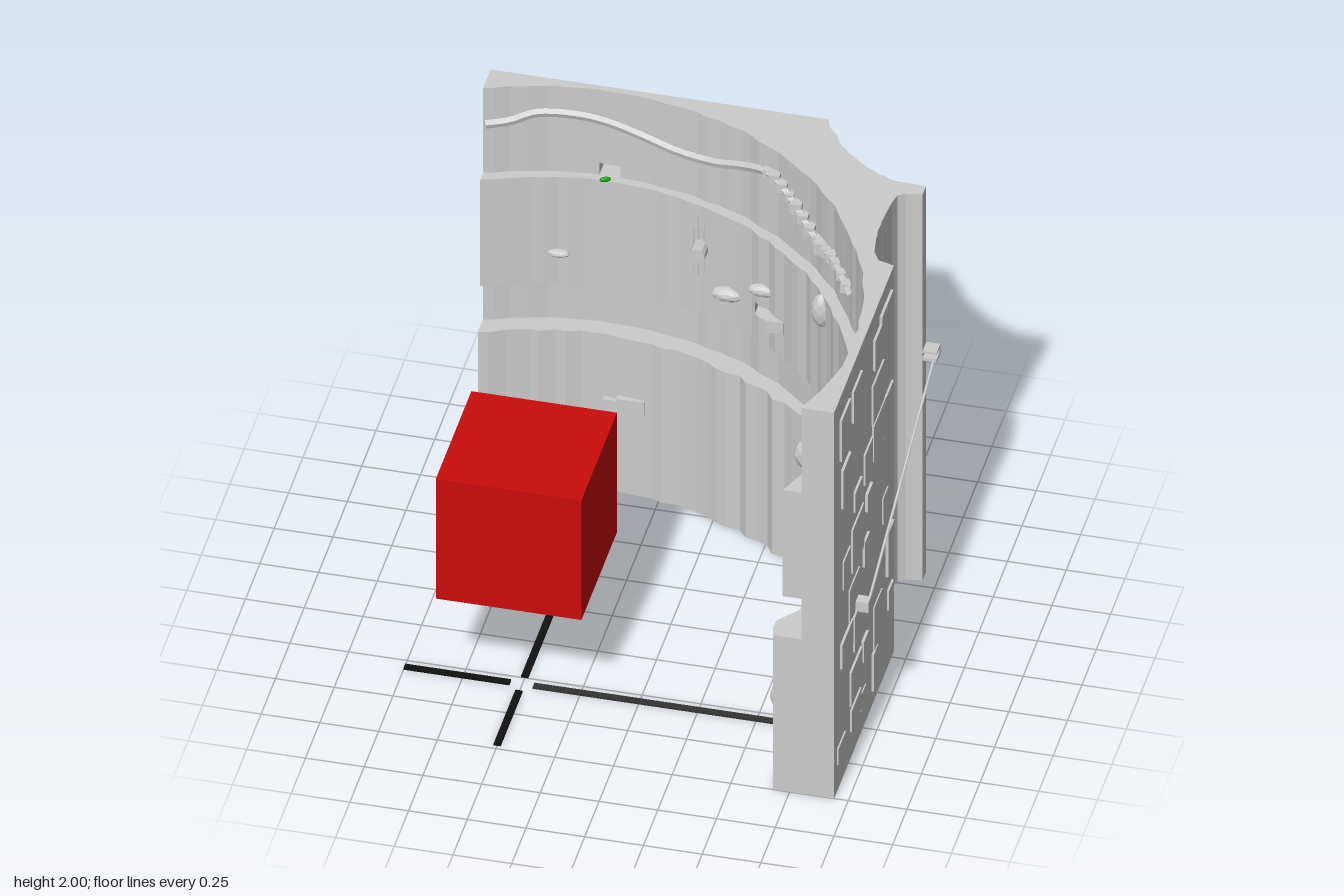
import * as THREE from 'three';

export function createModel() {
  const root = new THREE.Group();
  const mat = (color) => new THREE.MeshStandardMaterial({ color, flatShading: true });
  const grey = mat(0xcccccc), red = mat(0xcc0c0c), black = mat(0x111111), green = mat(0x18a018);
  let seed = 7;
  const rnd = () => (seed = (seed * 16807) % 2147483647) / 2147483647;

  const add = (name, geo, x = 0, y = 0, z = 0, m = grey, parent = root) => {
    const mesh = new THREE.Mesh(geo, m);
    mesh.name = name;
    mesh.position.set(x, y, z);
    parent.add(mesh);
    return mesh;
  };
  // Box given by its limits on each axis
  const box = (name, x0, x1, y0, y1, z0, z1, m, parent) =>
    add(name, new THREE.BoxGeometry(x1 - x0, y1 - y0, z1 - z0), (x0 + x1) / 2, (y0 + y1) / 2, (z0 + z1) / 2, m, parent);
  const rock = (name, x, y, z, sx, sy, sz, m) => {
    const r = add(name, new THREE.IcosahedronGeometry(0.5, 1), x, y, z, m);
    r.scale.set(sx, sy, sz);
    return r;
  };

  // Plan outlines [x, z] of the wall, from the back's right end round to the front's left end
  const fluted = (pts, n, amount) => {
    const curve = new THREE.CatmullRomCurve3(pts.map(([x, z]) => new THREE.Vector3(x, 0, z)));
    return curve.getSpacedPoints(n).map((p, i) => {
      const j = i === 0 || i === n ? 0 : (rnd() - 0.5) * amount;
      return [p.x + (i === 0 || i === n ? 0 : j), p.z - j];
    });
  };
  const upper = fluted([[-1, -0.82], [-0.75, -0.895], [-0.5, -0.92], [-0.2, -0.89], [0.1, -0.79], [0.35, -0.63],
    [0.6, -0.38], [0.77, -0.08], [0.86, 0.15], [0.895, 0.4], [0.9, 0.6], [0.87, 0.8], [0.8, 1]], 60, 0.01);
  const middle = fluted([[-1, -0.77], [-0.75, -0.85], [-0.5, -0.885], [-0.2, -0.85], [0.1, -0.74], [0.35, -0.57],
    [0.55, -0.36], [0.7, -0.1], [0.8, 0.15], [0.85, 0.4], [0.84, 0.6], [0.8, 0.8], [0.72, 1]], 60, 0.01);
  const lower = fluted([[-1, -0.73], [-0.8, -0.795], [-0.5, -0.84], [-0.15, -0.79], [0.15, -0.67], [0.45, -0.46],
    [0.65, -0.2], [0.76, 0.1], [0.78, 0.35], [0.79, 0.62], [0.76, 0.78], [0.66, 0.92], [0.68, 1]], 60, 0.018);
  const outer = [[-1, -0.95], [0.44, -0.95], [0.45, -0.91],
    ...fluted([[0.48, -0.87], [0.53, -0.8], [0.62, -0.71], [0.72, -0.64], [0.82, -0.605]], 14, 0.01),
    [0.94, -0.6], [0.94, -0.54], [0.87, -0.53], [0.84, -0.51], [0.83, -0.46],
    ...fluted([[0.825, -0.4], [0.82, -0.3], [0.825, -0.2]], 8, 0.006),
    [0.84, -0.11], [0.87, -0.06], [0.94, -0.04], [0.94, 1]];

  // Split an outline where it first passes x
  const split = (line, x) => {
    const i = line.findIndex((p) => p[0] > x);
    const [a, b] = [line[i - 1], line[i]];
    const cut = [x, a[1] + (b[1] - a[1]) * (x - a[0]) / (b[0] - a[0])];
    return { before: [...line.slice(0, i), cut], after: [cut, ...line.slice(i)], z: cut[1] };
  };
  const wall = new THREE.Group();
  wall.name = 'curvedWall';
  root.add(wall);
  const slab = (name, y0, y1, inside, outside) => {
    const plan = [...inside, ...[...outside].reverse()].map(([x, z]) => new THREE.Vector2(x, -z));
    const geo = new THREE.ExtrudeGeometry(new THREE.Shape(plan), { depth: y1 - y0, bevelEnabled: false });
    add(name, geo.rotateX(-Math.PI / 2), 0, y0, 0, grey, wall);
  };
  // Wall layers; the optional last two numbers are a window's x limits
  const layers = [
    ['lowerWall', 0, 0.43, lower], ['lowerWallWindow', 0.43, 0.49, lower, 0.53, 0.57], ['lowerWallTop', 0.49, 0.8, lower],
    ['recessedBand', 0.8, 1.01, upper],
    ['middleWall', 1.01, 1.14, middle], ['middleWallWindow', 1.14, 1.2, middle, 0.19, 0.26], ['middleWallTop', 1.2, 1.56, middle],
    ['upperWallWindow', 1.56, 1.62, upper, -0.53, -0.44], ['upperWall', 1.62, 2, upper]];
  for (const [name, y0, y1, line, a, b] of layers) {
    if (a === undefined) { slab(name, y0, y1, line, outer); continue; }
    slab(name + 'Right', y0, y1, split(line, a).before, split(outer, a).before);
    slab(name + 'Left', y0, y1, split(line, b).after, split(outer, b).after);
  }

  // Square window frames projecting from the back
  const frame = (x0, x1, y0, y1, z0, z1, t = 0.008) => {
    box('windowFrameBottom', x0 - t, x1 + t, y0 - t, y0, z0, z1);
    box('windowFrameTop', x0 - t, x1 + t, y1, y1 + t, z0, z1);
    box('windowFrameSide', x0 - t, x0, y0, y1, z0, z1);
    box('windowFrameSide', x1, x1 + t, y0, y1, z0, z1);
  };
  frame(-0.53, -0.44, 1.56, 1.62, -1, -0.94);
  frame(0.19, 0.26, 1.14, 1.2, -1, -0.94);
  box('windowBlock', 0.26, 0.34, 1.14, 1.2, split(middle, 0.3).z - 0.05, split(middle, 0.3).z + 0.03);

  // Thin cladding plates on the back and on the left side
  for (let row = 0; row < 8; row++) {
    for (let col = 0; col < 5; col++) {
      const w = 0.07 + rnd() * 0.15, h = 0.07 + rnd() * 0.16, t = 0.005 + rnd() * 0.008;
      const y = 0.15 + row * 0.235 + (rnd() - 0.5) * 0.1;
      const z = 0.08 + col * 0.19 + (rnd() - 0.5) * 0.1;
      if (rnd() < 0.75) box('sidePlate', 0.93, 0.94 + t, y - h / 2, y + h / 2, Math.max(z - w / 2, 0), Math.min(z + w / 2, 0.98));
      const x = -0.85 + col * 0.28 + (rnd() - 0.5) * 0.14;
      if (rnd() < 0.75) box('backPlate', x - w / 2, x + w / 2, y - h / 2, y + h / 2, -0.95 - t, -0.94);
    }
  }

  // Stones on the back near the corner, and a stepped ledge in the corner
  for (const [x, y, w, h] of [[0.3, 1.11, 0.24, 0.07], [0.24, 1.03, 0.13, 0.07], [0.33, 0.78, 0.18, 0.07], [0.37, 0.7, 0.14, 0.06], [0.36, 0.4, 0.18, 0.09]])
    rock('backStone', x, y, -0.95, w, h, 0.08);
  for (let i = 0; i < 5; i++) {
    const x = 0.45 + i * 0.055, z = split(outer, x + 0.01).z;
    box('cornerLedge', x - 0.03, x + 0.03, 0.43, 0.57 - (i % 2) * 0.02, z - 0.025, z + 0.06);
  }

  // Slanting cable on the left side with its two brackets
  const cable = new THREE.LineCurve3(new THREE.Vector3(0.985, 1.15, -0.56), new THREE.Vector3(0.985, 0.72, 0.59));
  add('sideCable', new THREE.TubeGeometry(cable, 1, 0.006, 6));
  box('cableBracketLower', 0.93, 1, 0.715, 0.765, 0.6, 0.65);
  box('cableBracketUpperArm', 0.9, 1, 1.14, 1.155, -0.605, -0.54);
  box('cableBracketUpperPlate', 0.985, 1, 1.14, 1.19, -0.605, -0.59);
  box('cableBracketUpperTop', 0.92, 1, 1.18, 1.19, -0.605, -0.54);

  // Rough cable sagging along the inside of the upper wall
  const path = [[-0.98, 1.82], [-0.88, 1.83], [-0.78, 1.87], [-0.62, 1.87], [-0.48, 1.85], [-0.33, 1.81], [-0.18, 1.78], [0, 1.79],
    [0.14, 1.84], [0.27, 1.88], [0.4, 1.82], [0.52, 1.74], [0.62, 1.75], [0.75, 1.75]];
  const inner = new THREE.CatmullRomCurve3(path.map(([x, y]) => new THREE.Vector3(x - 0.008, y, split(upper, x).z + 0.012)));
  add('innerCable', new THREE.TubeGeometry(inner, 50, 0.02, 5));
  for (let i = 0; i < 14; i++) {
    const p = inner.getPoint(0.68 + i * 0.023), s = 0.035 + rnd() * 0.025;
    box('cableBlock', p.x - s / 2, p.x + s / 2, p.y - s / 2, p.y + s / 2, p.z - s / 2, p.z + s / 2);
  }

  // Debris on the inside faces
  for (const [line, x, y, w, h, d] of [[middle, -0.69, 1.17, 0.1, 0.04, 0.06], [middle, 0.06, 1.17, 0.15, 0.07, 0.08],
    [middle, 0.23, 1.29, 0.13, 0.06, 0.06], [middle, 0.56, 1.48, 0.09, 0.17, 0.08], [lower, 0.53, 0.7, 0.2, 0.18, 0.12]])
    rock('innerStone', x, y, split(line, x).z, w, h, d);
  for (const [z, y] of [[0.33, 0.7], [0.45, 0.45], [0.88, 0.41]])
    rock('sideStone', z > 0.8 ? 0.68 : 0.77, y, z, 0.08, 0.11, 0.13);
  for (const [x0, x1, y0, y1] of [[-0.49, -0.42, 0.42, 0.48], [-0.43, -0.31, 0.43, 0.5]]) {
    const z = split(lower, (x0 + x1) / 2).z;
    box('innerBox', x0, x1, y0, y1, z - 0.03, z + 0.02);
  }

  // Round knob with thin radiating streaks
  const knobZ = split(middle, -0.07).z;
  add('roundKnob', new THREE.CylinderGeometry(0.035, 0.035, 0.1, 10).rotateX(Math.PI / 2), -0.07, 1.355, knobZ + 0.03);
  for (const [dx, half] of [[-0.03, 0.13], [-0.01, 0.19], [0.015, 0.22], [0.035, 0.16]]) {
    const streak = add('streak', new THREE.ConeGeometry(0.006, half, 4), -0.07 + dx, 1.355 - half / 2, knobZ + 0.004);
    streak.rotation.z = Math.PI;
    add('streak', new THREE.ConeGeometry(0.006, half, 4), -0.07 + dx, 1.355 + half / 2, knobZ + 0.004);
  }

  // Small plant in the upper window
  const leaf = rock('plant', -0.495, 1.572, -0.88, 0.05, 0.025, 0.02, green);
  leaf.rotation.y = 0.4;

  // Floating cube
  box('redCube', -0.82, -0.2, 0.53, 1.15, 0.12, 0.74, red);

  // Floor cross, open at its centre
  box('floorStripBack', -0.515, -0.485, 0, 0.01, -0.83, 0.5, black);
  box('floorStripFront', -0.515, -0.485, 0, 0.01, 0.6, 0.98, black);
  box('floorStripRight', -1, -0.55, 0, 0.01, 0.535, 0.565, black);
  box('floorStripLeft', -0.45, 0.78, 0, 0.01, 0.535, 0.565, mat(0x333333));

  return root;
}
